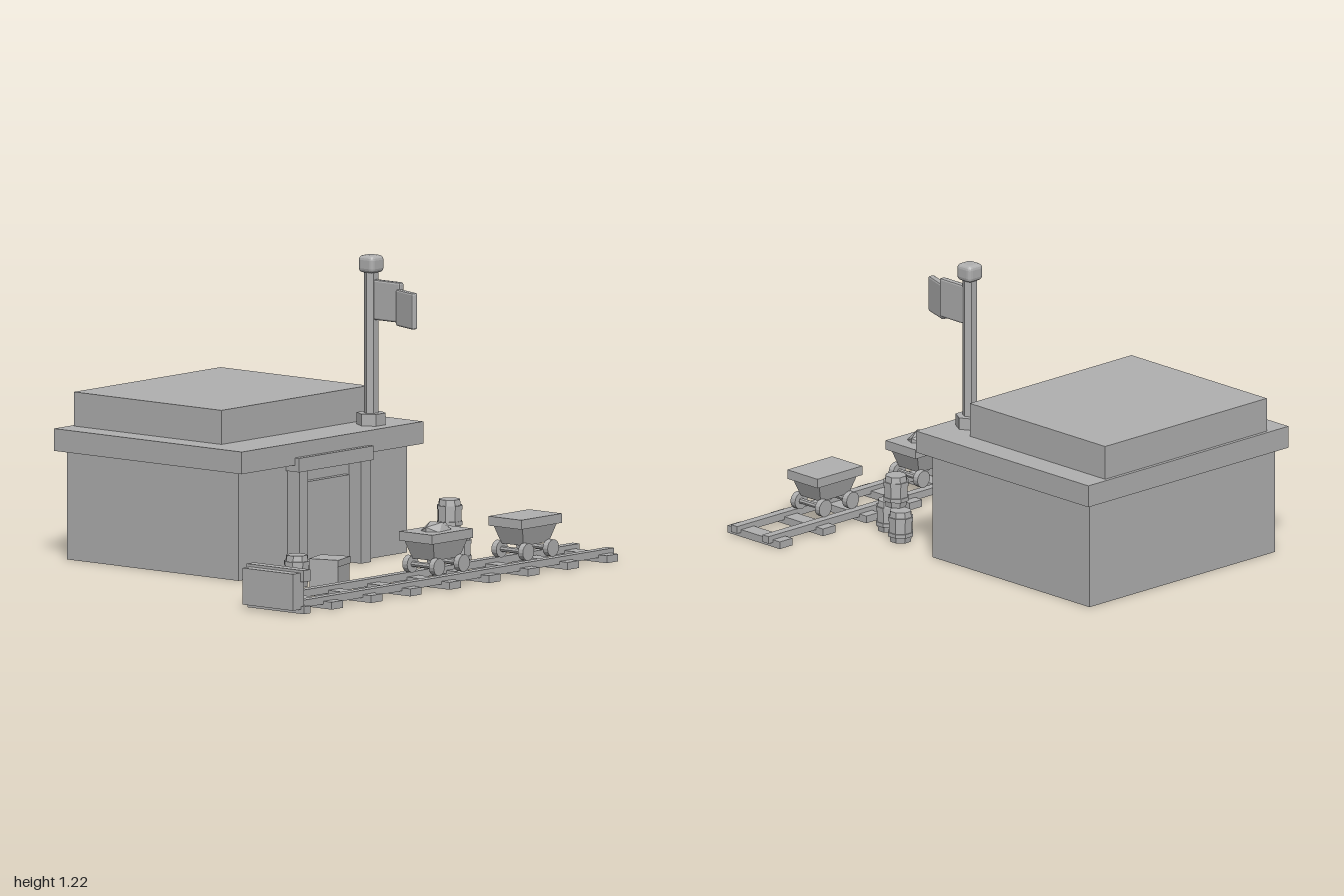
import * as THREE from 'three';
import { RoundedBoxGeometry } from 'three/addons/geometries/RoundedBoxGeometry.js';

const stone = new THREE.MeshStandardMaterial({ color: 0xb0b0b0 });
stone.name = 'plain grey';
stone.flatShading = true;

function add(parent, name, geometry, x = 0, y = 0, z = 0) {
  const mesh = new THREE.Mesh(geometry, stone);
  mesh.name = name;
  mesh.position.set(x, y, z);
  parent.add(mesh);
  return mesh;
}

// Box given by its limits on each axis
function block(parent, name, [x0, x1], [y0, y1], [z0, z1]) {
  add(parent, name, new THREE.BoxGeometry(x1 - x0, y1 - y0, z1 - z0),
    (x0 + x1) / 2, (y0 + y1) / 2, (z0 + z1) / 2);
}

function group(parent, name, x = 0, y = 0, z = 0) {
  const g = new THREE.Group();
  g.name = name;
  g.position.set(x, y, z);
  parent.add(g);
  return g;
}

function buildHouse(model) {
  const house = group(model, 'house');
  block(house, 'walls', [-0.835, 0.07], [0, 0.44], [-0.61, 0.424]);
  block(house, 'roofSlab', [-0.875, 0.118], [0.44, 0.53], [-0.655, 0.46]);
  block(house, 'upperRoof', [-0.86, -0.08], [0.53, 0.668], [-0.547, 0.354]);
  // Doorway on the +x wall
  block(house, 'doorPanel', [0.06, 0.095], [0, 0.36], [-0.23, 0.043]);
  block(house, 'doorJamb', [0.06, 0.133], [0, 0.413], [0.07, 0.123]);
  block(house, 'doorJamb', [0.06, 0.133], [0, 0.413], [-0.316, -0.255]);
  block(house, 'doorLintel', [0.06, 0.14], [0.413, 0.47], [-0.325, 0.132]);
}

function buildFlag(model) {
  const flag = group(model, 'flagpole', 0.013, 0, -0.457);
  add(flag, 'poleBase', new THREE.CylinderGeometry(0.059, 0.059, 0.05, 6), 0, 0.553, 0);
  add(flag, 'pole', new THREE.CylinderGeometry(0.03, 0.03, 0.6, 6), 0, 0.86, 0);
  add(flag, 'poleCap', new RoundedBoxGeometry(0.08, 0.07, 0.08, 2, 0.018), 0, 1.181, 0);
  add(flag, 'flagInner', new RoundedBoxGeometry(0.145, 0.163, 0.028, 1, 0.008), 0.09, 1.038, 0);
  const outer = add(flag, 'flagOuter', new RoundedBoxGeometry(0.132, 0.148, 0.028, 1, 0.008),
    0.21, 1.018, 0.026);
  outer.rotation.y = -0.33;
}

function buildBarrel(model, x, y, z) {
  const barrel = group(model, 'barrel', x, y, z);
  const profile = [[0, 0], [0.044, 0], [0.05, 0.04], [0.05, 0.09], [0.044, 0.128], [0, 0.128]]
    .map(([r, h]) => new THREE.Vector2(r, h));
  add(barrel, 'staves', new THREE.LatheGeometry(profile, 8));
  for (const h of [0.032, 0.096]) {
    add(barrel, 'hoop', new THREE.CylinderGeometry(0.054, 0.054, 0.016, 8), 0, h, 0);
  }
  barrel.rotation.y = Math.PI / 8;
}

function buildCrate(model) {
  const crate = group(model, 'crate', 0.493, 0, 0.355);
  crate.rotation.y = 0.31;
  add(crate, 'crateBody', new THREE.BoxGeometry(0.122, 0.1, 0.122), 0, 0.05, 0);
  add(crate, 'crateLid', new THREE.BoxGeometry(0.127, 0.028, 0.127), 0, 0.114, 0);
}

function buildTrack(model) {
  const track = group(model, 'track');
  for (const x of [0.628, 0.81]) {
    block(track, 'rail', [x - 0.018, x + 0.018], [0.018, 0.048], [-1, 0.94]);
  }
  for (let i = 0; i < 8; i++) {
    const z = -0.942 + i * 0.2413;
    block(track, 'sleeper', [0.57, 0.871], [0, 0.03], [z - 0.035, z + 0.035]);
  }
  // Stop at the end of the line
  block(track, 'endStopBoard', [0.588, 0.854], [0.018, 0.166], [0.933, 1]);
  block(track, 'endStopBeam', [0.571, 0.87], [0.13, 0.177], [0.91, 0.955]);
  block(track, 'endStopSill', [0.571, 0.87], [0, 0.03], [0.91, 0.95]);
}

function buildCart(model, z, loaded) {
  const cart = group(model, 'mineCart', 0.72, 0, z);
  add(cart, 'cartRim', new THREE.BoxGeometry(0.174, 0.038, 0.25), 0, 0.199, 0);
  // Hopper narrows toward its floor
  const hopper = new THREE.BoxGeometry(0.154, 0.076, 0.212);
  const p = hopper.attributes.position;
  for (let i = 0; i < p.count; i++) {
    if (p.getY(i) < 0) {
      p.setX(i, p.getX(i) * 0.75);
      p.setZ(i, p.getZ(i) * 0.74);
    }
  }
  hopper.computeVertexNormals();
  add(cart, 'hopper', hopper, 0, 0.144, 0);
  for (const dz of [-0.076, 0.076]) {
    const axle = add(cart, 'axle', new THREE.CylinderGeometry(0.012, 0.012, 0.14, 8), 0, 0.083, dz);
    axle.rotation.z = Math.PI / 2;
    for (const dx of [-0.07, 0.07]) {
      const wheel = add(cart, 'wheel', new THREE.CylinderGeometry(0.035, 0.035, 0.026, 16), dx, 0.083, dz);
      wheel.rotation.z = Math.PI / 2;
    }
  }
  if (loaded) {
    const ore = add(cart, 'ore', new THREE.IcosahedronGeometry(1, 0), 0, 0.215, 0);
    ore.scale.set(0.054, 0.042, 0.088);
    ore.rotation.y = 0.15;
  }
}

export function createModel() {
  const model = new THREE.Group();
  model.name = 'miningStation';
  buildHouse(model);
  buildFlag(model);
  buildBarrel(model, 0.314, 0, -0.551);
  buildBarrel(model, 0.449, 0, -0.488);
  buildBarrel(model, 0.373, 0.128, -0.52);
  buildBarrel(model, 0.345, 0, 0.385);
  buildCrate(model);
  buildTrack(model);
  buildCart(model, -0.581, false);
  buildCart(model, -0.034, true);
  return model;
}
